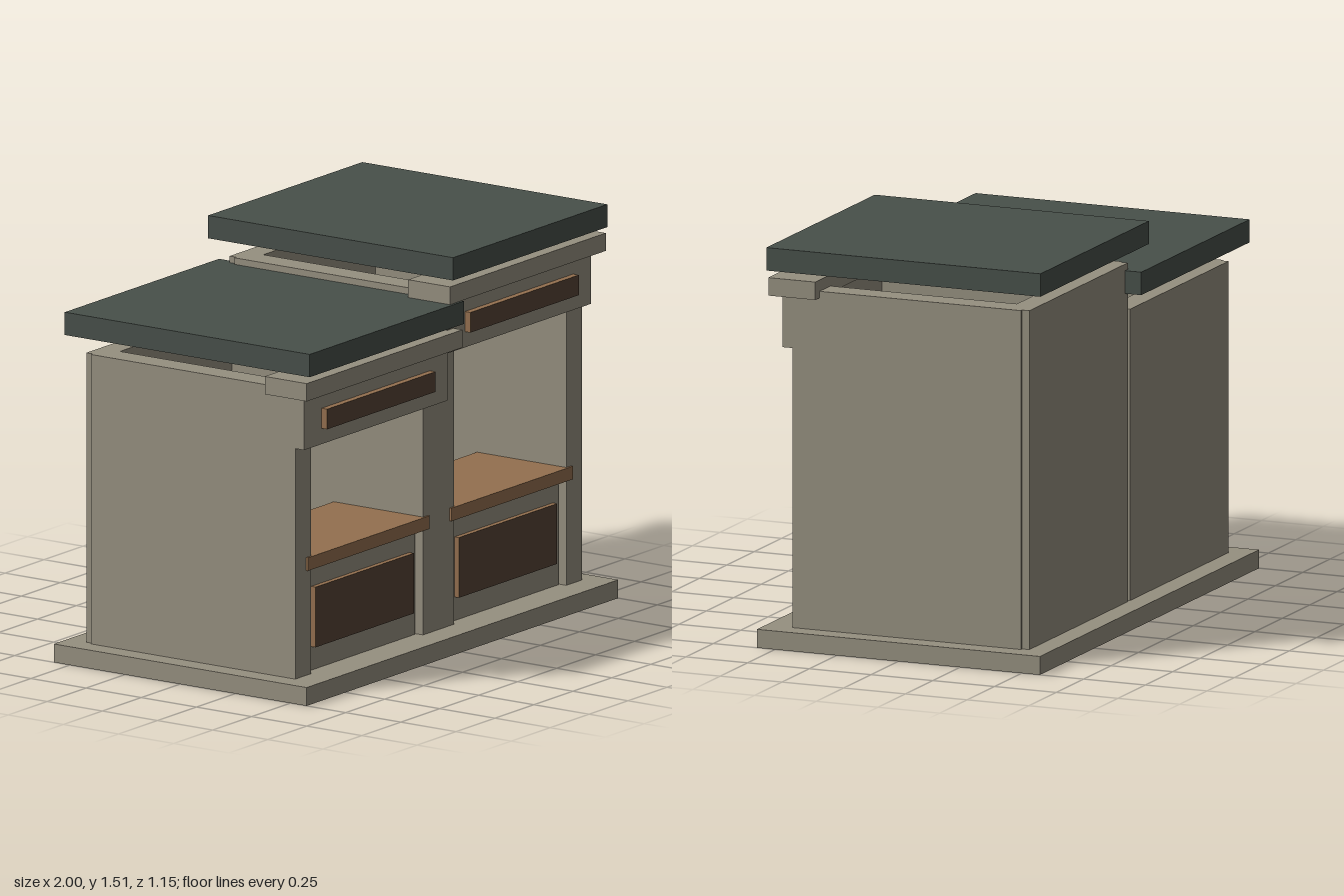
import * as THREE from 'three';

const mat = (name, color) => {
  const m = new THREE.MeshStandardMaterial({ color });
  m.name = name;
  return m;
};

export function createModel() {
  const stone = mat('stone', 0x969080);
  const slate = mat('slate', 0x48504a);
  const wood = mat('wood', 0x94704f);
  const darkWood = mat('darkWood', 0x584436);

  // Box given by its limits on each axis
  function block(parent, name, material, [x0, x1], [y0, y1], [z0, z1]) {
    const mesh = new THREE.Mesh(new THREE.BoxGeometry(x1 - x0, y1 - y0, z1 - z0), material);
    mesh.position.set((x0 + x1) / 2, (y0 + y1) / 2, (z0 + z1) / 2);
    mesh.name = name;
    parent.add(mesh);
    return mesh;
  }

  // Wooden board with a dark front face
  const boardMaterials = [wood, wood, wood, wood, darkWood, wood];

  // One booth, centred on its own x; rise lifts everything above the opening
  function booth(name, x, rise, side) {
    const g = new THREE.Group();
    g.name = name;
    g.position.x = x;
    const top = 1.175 + rise;

    // Walls and back
    for (const s of [-1, 1]) {
      const wall = block(g, s < 0 ? 'rightWall' : 'leftWall', stone, [-0.05, 0.05], [0.07, top], [-0.46, 0.465]);
      wall.position.x = s * 0.41;
    }
    block(g, 'backPanel', stone, [-0.449, 0.449], [0.07, top], [-0.49, -0.4]);

    // Counter and the panel beneath it
    block(g, 'counter', wood, [-0.39, 0.39], [0.47, 0.52], [0.06, 0.473]);
    block(g, 'counterFront', stone, [-0.352, 0.352], [0.07, 0.47], [0.39, 0.435]);
    block(g, 'frontBoard', boardMaterials, [-0.315, 0.315], [0.16, 0.39], [0.435, 0.455]);

    // Fascia, sign board and cornice
    block(g, 'fascia', stone, [-0.46, 0.46], [0.95 + rise, 1.15 + rise], [0.465, 0.505]);
    block(g, 'signBoard', boardMaterials, [-0.348, 0.348], [1.01 + rise, 1.087 + rise], [0.505, 0.53]);
    block(g, 'cornice', stone, [-0.5, 0.5], [1.15 + rise, 1.218 + rise], [0.355, 0.545]);

    // Floating flat roof
    block(g, 'roof', slate, [-0.495, 0.495], [1.243 + rise, 1.33 + rise], [-0.555, 0.555]);
    return g;
  }

  const model = new THREE.Group();
  model.name = 'twinBooth';
  block(model, 'base', stone, [-1, 1], [0, 0.07], [-0.573, 0.573]);
  model.add(booth('lowBooth', -0.46, 0));
  model.add(booth('highBooth', 0.46, 0.18));
  return model;
}
